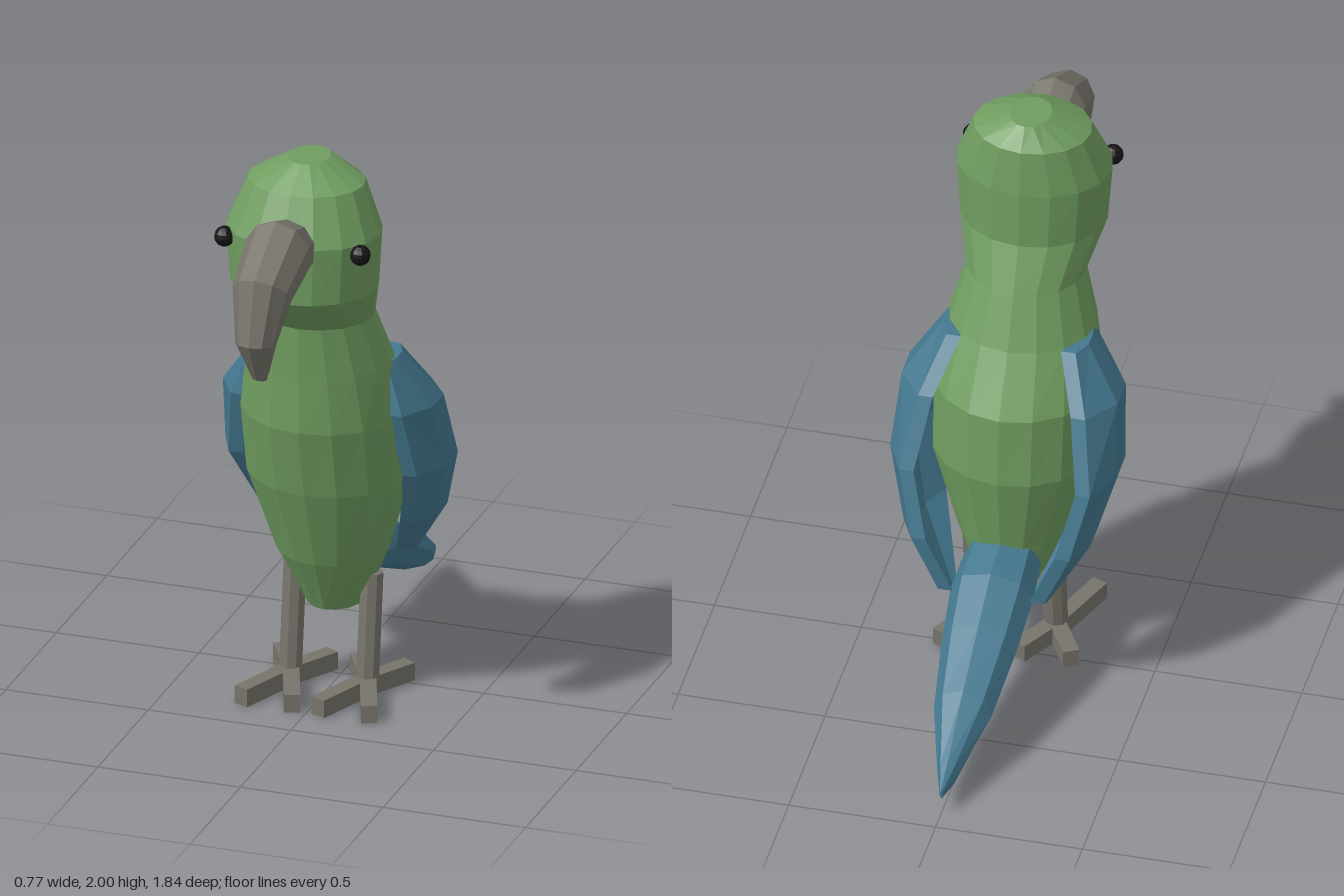
import * as THREE from 'three';

const mat = (color) => new THREE.MeshStandardMaterial({ color, flatShading: true });
const V = (x, y, z) => new THREE.Vector3(x, y, z);

// Skin a closed solid over rings with equal point counts; faces always point outward
function loft(rings) {
  const tris = [];
  const n = rings[0].length;
  for (let i = 0; i < rings.length - 1; i++) {
    for (let j = 0; j < n; j++) {
      const k = (j + 1) % n;
      const [a, b, c, d] = [rings[i][j], rings[i][k], rings[i + 1][k], rings[i + 1][j]];
      tris.push([a, b, c], [a, c, d]);
    }
  }
  const cap = (ring, flip) => {
    const c = ring.reduce((s, p) => s.add(p), V(0, 0, 0)).divideScalar(n);
    ring.forEach((p, j) => {
      const q = ring[(j + 1) % n];
      tris.push(flip ? [c, q, p] : [c, p, q]);
    });
  };
  cap(rings[0], true);
  cap(rings[rings.length - 1], false);
  let volume = 0;
  for (const [a, b, c] of tris) volume += a.dot(b.clone().cross(c));
  const pts = tris.flatMap(([a, b, c]) => (volume < 0 ? [a, c, b] : [a, b, c]));
  const geo = new THREE.BufferGeometry().setFromPoints(pts);
  geo.computeVertexNormals();
  return geo;
}

// Elliptical ring between two points of the middle plane, with half width w
function hoop([y1, z1, y2, z2, w], n) {
  return Array.from({ length: n }, (_, i) => {
    const a = (i / n) * Math.PI * 2;
    const c = Math.cos(a) / 2;
    return V(w * Math.sin(a), (y1 + y2) / 2 + (y1 - y2) * c, (z1 + z2) / 2 + (z1 - z2) * c);
  });
}

export function createModel() {
  const bird = new THREE.Group();
  bird.name = 'bird';
  const green = mat(0x709d60);
  const blue = mat(0x44788f);
  const grey = mat(0x77746b);
  const black = mat(0x151515);

  const add = (name, geo, material, parent = bird) => {
    const mesh = new THREE.Mesh(geo, material);
    mesh.name = name;
    parent.add(mesh);
    return mesh;
  };

  // Body and head: height, front z, back z, half width
  const bodyRings = [
    [0.30, 0.17, -0.10, 0.10],
    [0.50, 0.27, -0.11, 0.19],
    [0.79, 0.37, -0.15, 0.28],
    [1.04, 0.43, -0.13, 0.285],
    [1.24, 0.43, -0.01, 0.25],
    [1.42, 0.435, 0.07, 0.20],
    [1.57, 0.585, 0.14, 0.25],
    [1.77, 0.585, 0.15, 0.265],
    [1.93, 0.51, 0.175, 0.20],
    [2.00, 0.40, 0.23, 0.07],
  ];
  add('bodyAndHead', loft(bodyRings.map(([y, f, b, w]) => hoop([y, f, y, b, w], 16))), green);

  // Hooked beak: upper y, z, lower y, z, half width
  const beakRings = [
    [1.86, 0.54, 1.66, 0.54, 0.105],
    [1.895, 0.65, 1.655, 0.59, 0.115],
    [1.77, 0.865, 1.62, 0.705, 0.10],
    [1.55, 0.92, 1.53, 0.775, 0.068],
    [1.40, 0.84, 1.43, 0.763, 0.03],
    [1.37, 0.77, 1.395, 0.76, 0.012],
  ];
  add('beak', loft(beakRings.map((r) => hoop(r, 10))), grey);

  // Tail: upper y, z, lower y, z, half width
  const tailRings = [
    [0.53, -0.06, 0.33, -0.08, 0.13],
    [0.49, -0.24, 0.30, -0.20, 0.14],
    [0.40, -0.41, 0.225, -0.38, 0.128],
    [0.285, -0.62, 0.115, -0.63, 0.098],
    [0.15, -0.83, 0.055, -0.84, 0.035],
    [0.09, -0.92, 0.06, -0.92, 0.006],
  ];
  add('tail', loft(tailRings.map((r) => hoop(r, 8))), blue);

  // Wing: height, front z, back z, front x, middle x, back x
  const wingRings = [
    [1.24, 0.22, 0.04, 0.24, 0.25, 0.22],
    [1.07, 0.25, -0.09, 0.30, 0.367, 0.285],
    [0.83, 0.185, -0.19, 0.33, 0.385, 0.325],
    [0.60, 0.04, -0.25, 0.27, 0.318, 0.27],
    [0.395, -0.18, -0.238, 0.18, 0.19, 0.18],
  ];
  const wingSection = ([y, f, b, xf, xm, xb], side) => {
    const outer = [[xf, 0], [xm, 0.33], [xm, 0.67], [xb, 1]];
    const inner = outer.map(([x, t]) => [x - 0.05, t]).reverse();
    return [...outer, ...inner].map(([x, t]) => V(side * x, y, f + (b - f) * t));
  };

  for (const side of [1, -1]) {
    const label = side > 0 ? 'left' : 'right';
    add(label + 'Wing', loft(wingRings.map((r) => wingSection(r, side))), blue);
    add(label + 'Eye', new THREE.SphereGeometry(0.035, 12, 8), black).position.set(side * 0.238, 1.742, 0.485);

    // Leg leaning slightly forward
    const leg = add(label + 'Leg', new THREE.CylinderGeometry(0.04, 0.04, 0.38, 8), grey);
    leg.position.set(side * 0.135, 0.23, 0.1);
    leg.rotation.x = -0.12;

    // Foot with two toes forward and two back
    const foot = new THREE.Group();
    foot.name = label + 'Foot';
    foot.position.set(side * 0.135, 0.032, 0.12);
    for (const [x, z] of [[0.09, 0.24], [-0.09, 0.24], [0.09, -0.16], [-0.09, -0.16]]) {
      const length = Math.hypot(x, z) + 0.02;
      const toe = add('toe', new THREE.BoxGeometry(0.055, 0.063, length).translate(0, 0, length / 2 - 0.02), grey, foot);
      toe.rotation.y = Math.atan2(x, z);
    }
    bird.add(foot);
  }
  return bird;
}
